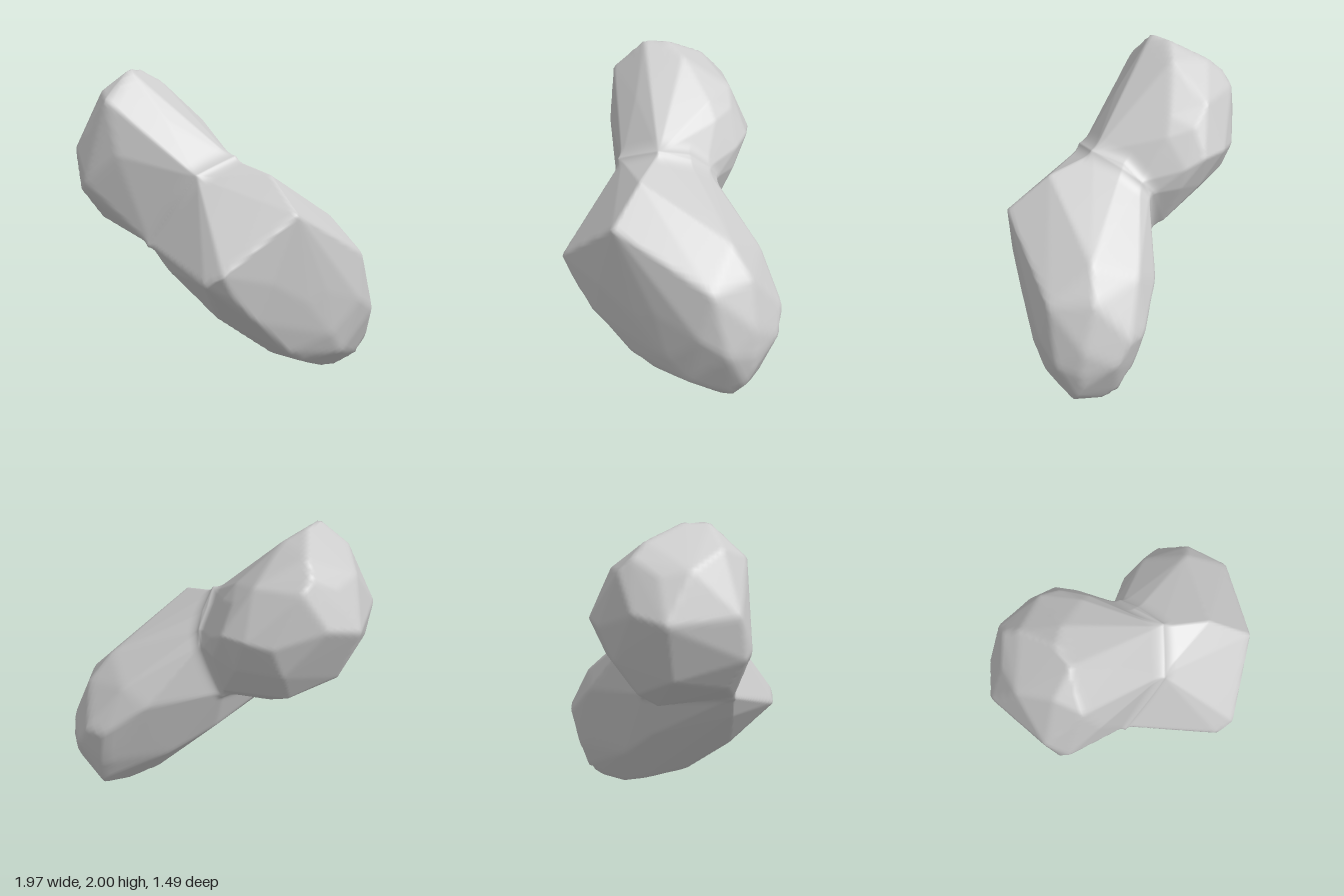
import * as THREE from 'three';
import { ConvexGeometry } from 'three/addons/geometries/ConvexGeometry.js';
import { mergeVertices } from 'three/addons/utils/BufferGeometryUtils.js';

// Points shared by both lobes: ring of the neck, then one anchor inside each lobe
const neck = [
  [-0.25, 1.32, 0.25], [0.01, 1.42, 0.12], [-0.54, 0.88, 0.12], [0.04, 1.37, -0.08], [0.09, 1.28, -0.2],
  [-0.05, 0.85, -0.24], [0.05, 1.0, 0.1], [-0.3, 1.3, -0.12],
];
const center = new THREE.Vector3(-0.13, 1.15, 0);

// Upper lobe: crown, left flank, back, right flank, underside
const upper = [
  [-0.63, 2.0, -0.15], [-0.55, 2.0, -0.28], [-0.4, 1.92, -0.32], [-0.53, 1.9, -0.54], [-0.55, 1.81, -0.65],
  [-0.81, 1.86, -0.18], [-0.8, 1.8, 0.0], [-0.74, 1.45, 0.07], [-0.94, 1.26, -0.06], [-0.99, 1.48, -0.18],
  [-0.96, 1.22, -0.12], [-0.82, 1.03, -0.15], [-0.58, 1.15, 0.11], [-0.84, 1.75, -0.42], [-0.72, 1.72, -0.58],
  [-0.86, 1.45, -0.62], [-0.66, 1.5, -0.72], [-0.5, 1.73, -0.71], [-0.33, 1.39, -0.745], [-0.17, 1.42, -0.71],
  [-0.22, 1.72, -0.58], [-0.1, 1.6, -0.52], [-0.03, 1.42, -0.6], [0.03, 1.36, -0.48], [0.02, 1.22, -0.46],
  [0.06, 1.3, -0.35], [-0.12, 1.66, -0.35], [-0.04, 1.55, -0.35], [-0.42, 1.68, 0.04],
  [-0.4, 1.18, -0.68], [-0.45, 0.97, -0.54], [-0.75, 1.1, -0.5], [-0.12, 1.17, -0.56],
  [-0.35, 0.85, -0.33], [-0.05, 0.92, -0.34], [0.08, 1.2, -0.29],
];

// Lower lobe: front corners, front face, top ridge, right end, foot, back
const lower = [
  [0.31, 1.12, 0.63], [-0.18, 0.78, 0.745], [-0.28, 0.71, 0.68], [-0.1, 0.62, 0.7], [0.05, 0.46, 0.65],
  [0.15, 0.7, 0.66], [0.55, 0.6, 0.475], [0.6, 0.3, 0.42],
  [0.2, 1.34, 0.37], [0.7, 1.02, 0.0], [0.55, 0.97, 0.46], [0.4, 0.55, 0.54], [0.1, 1.2, -0.26],
  [0.85, 0.84, -0.05], [0.85, 0.8, 0.25], [0.97, 0.55, 0.0], [0.985, 0.38, 0.02], [0.97, 0.26, 0.02],
  [0.95, 0.4, 0.19], [0.82, 0.5, 0.32], [0.95, 0.18, 0.06], [0.87, 0.08, 0.1], [0.73, 0.0, 0.08],
  [0.6, 0.02, 0.17], [0.62, 0.02, 0.03], [0.42, 0.085, 0.08], [0.78, 0.05, -0.09],
  [0.7, 0.15, 0.32], [0.4, 0.13, 0.4], [0.28, 0.22, 0.5], [0.22, 0.17, 0.3], [-0.15, 0.44, 0.4], [-0.43, 0.72, 0.2],
  [0.78, 0.14, -0.18], [0.75, 0.33, -0.27], [0.93, 0.45, -0.2], [0.74, 0.58, -0.34], [0.85, 0.6, -0.28],
  [0.45, 0.8, -0.36], [0.6, 0.9, -0.28], [0.3, 0.35, -0.16], [0.0, 0.55, -0.14],
];

// Facet planes of a lobe, measured from the centre of the neck
function facets(points) {
  const hull = new ConvexGeometry([...points, ...neck].map((p) => new THREE.Vector3(...p).sub(center)));
  const pos = hull.getAttribute('position');
  const planes = [];
  for (let i = 0; i < pos.count; i += 3) {
    const [a, b, c] = [0, 1, 2].map((k) => new THREE.Vector3().fromBufferAttribute(pos, i + k));
    const normal = b.clone().sub(a).cross(c.sub(a));
    if (normal.length() < 1e-6) continue;
    normal.normalize();
    planes.push({ normal, height: normal.dot(a) });
  }
  return planes;
}

// Distance from the centre to a lobe's surface in one direction
function reach(planes, dir) {
  let r = Infinity;
  for (const { normal, height } of planes) {
    const slope = normal.dot(dir);
    if (slope > 1e-6) r = Math.min(r, height / slope);
  }
  return r;
}

export function createModel() {
  const upperFacets = facets(upper);
  const lowerFacets = facets(lower);

  // One skin drawn over both lobes, with a soft fillet around the neck
  const sphere = new THREE.IcosahedronGeometry(1, 45);
  sphere.deleteAttribute('normal');
  sphere.deleteAttribute('uv');
  const skin = mergeVertices(sphere, 1e-4);
  const pos = skin.getAttribute('position');
  const v = new THREE.Vector3();
  const blend = 0.12;
  for (let i = 0; i < pos.count; i++) {
    v.fromBufferAttribute(pos, i).normalize();
    const a = reach(upperFacets, v);
    const b = reach(lowerFacets, v);
    const near = Math.max(blend - Math.abs(a - b), 0);
    v.multiplyScalar(Math.max(a, b) + (near * near) / (4 * blend)).add(center);
    pos.setXYZ(i, v.x, v.y, v.z);
  }
  skin.computeVertexNormals();

  const body = new THREE.Mesh(skin, new THREE.MeshStandardMaterial({ color: 0xcccccc }));
  body.name = 'twoLobedBody';
  const group = new THREE.Group();
  group.name = 'twoLobedRock';
  group.add(body);
  return group;
}
